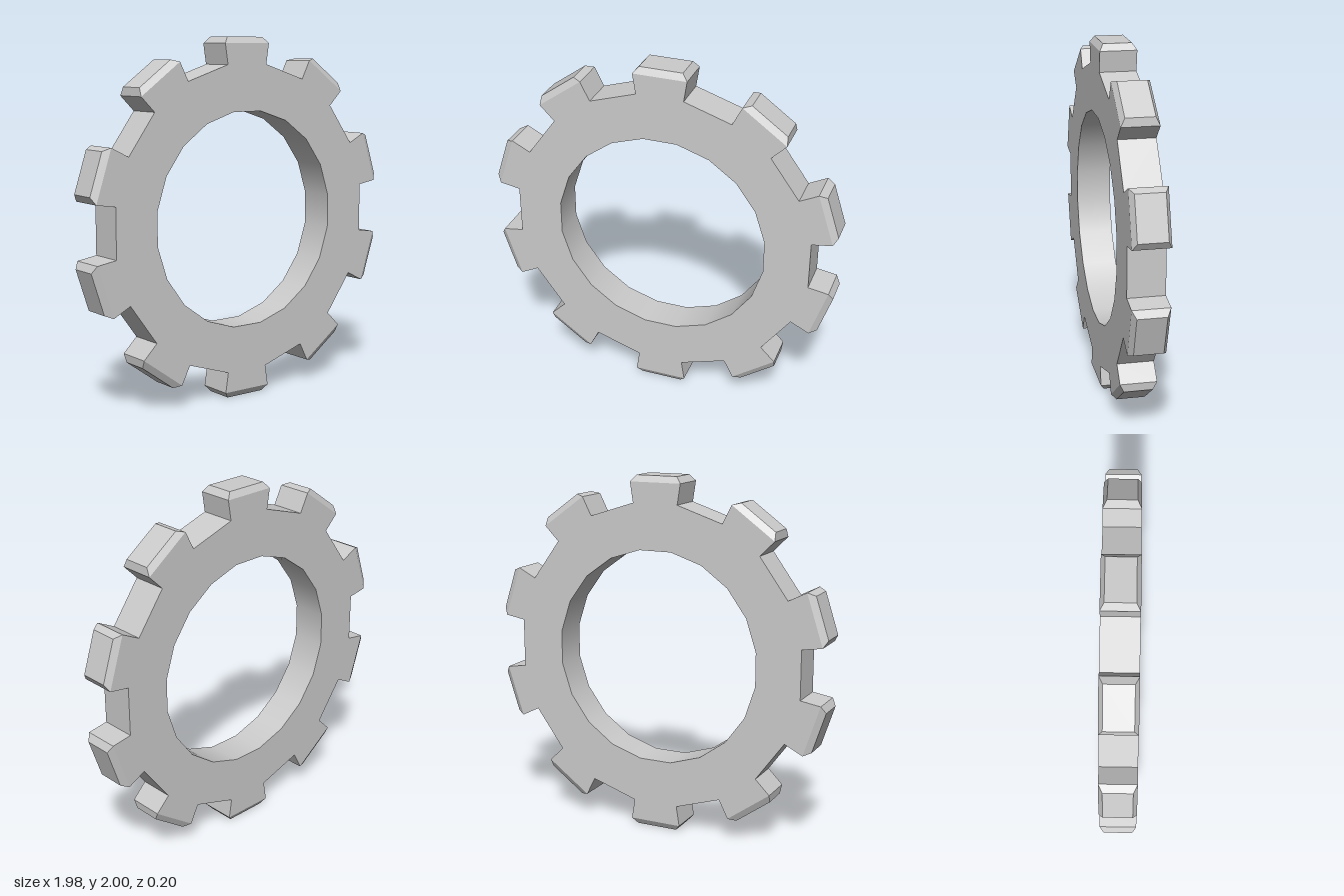
import * as THREE from 'three';
import { ConvexGeometry } from 'three/addons/geometries/ConvexGeometry.js';

const TEETH = 10;
const DEPTH = 0.2;
const BASE = [0.132, 0.851]; // half width and radius where a tooth meets the ring
const HOLE = 0.603;
const HOLE_SIDES = 20;

// Flat ring with a faceted outline and a smooth-shaded 20-sided bore
function ringGeometry() {
  const outline = [];
  for (let i = 0; i < TEETH; i++) {
    for (const s of [1, -1]) {
      const p = new THREE.Vector2(s * BASE[0], BASE[1]);
      outline.push(p.rotateAround(new THREE.Vector2(), (i * 2 * Math.PI) / TEETH));
    }
  }
  const bore = [];
  for (let i = 0; i < HOLE_SIDES; i++) {
    const a = ((i + 0.5) * 2 * Math.PI) / HOLE_SIDES;
    bore.push(new THREE.Vector2(HOLE * Math.sin(a), HOLE * Math.cos(a)));
  }
  const shape = new THREE.Shape(outline);
  shape.holes.push(new THREE.Path(bore));
  const geo = new THREE.ExtrudeGeometry(shape, { depth: DEPTH, bevelEnabled: false });
  geo.translate(0, 0, -DEPTH / 2);

  // Radial normals on the bore wall
  const pos = geo.attributes.position, nor = geo.attributes.normal;
  for (let i = 0; i < pos.count; i++) {
    const x = pos.getX(i), y = pos.getY(i), r = Math.hypot(x, y);
    if (r < HOLE + 0.01 && Math.abs(nor.getZ(i)) < 0.5) nor.setXYZ(i, -x / r, -y / r, 0);
  }
  return geo;
}

// Tooth: flares outward, then a chamfer on all four sides of the tip
function toothGeometry() {
  const sections = [
    [BASE[0], BASE[1], DEPTH / 2],
    [0.15, 0.965, DEPTH / 2],
    [0.12, 1, 0.078],
  ];
  const points = [];
  for (const [x, y, z] of sections)
    for (const sx of [-1, 1])
      for (const sz of [-1, 1]) points.push(new THREE.Vector3(sx * x, y, sz * z));
  return new ConvexGeometry(points);
}

export function createModel() {
  const model = new THREE.Group();
  model.name = 'gear';
  const material = new THREE.MeshStandardMaterial({ color: 0xcccccc });

  const ring = new THREE.Mesh(ringGeometry(), material);
  ring.name = 'ring';
  ring.position.y = 1;
  model.add(ring);

  const teeth = new THREE.Group();
  teeth.name = 'teeth';
  teeth.position.y = 1;
  const geo = toothGeometry();
  for (let i = 0; i < TEETH; i++) {
    const tooth = new THREE.Mesh(geo, material);
    tooth.name = `tooth${i + 1}`;
    tooth.rotation.z = (i * 2 * Math.PI) / TEETH;
    teeth.add(tooth);
  }
  model.add(teeth);
  return model;
}
